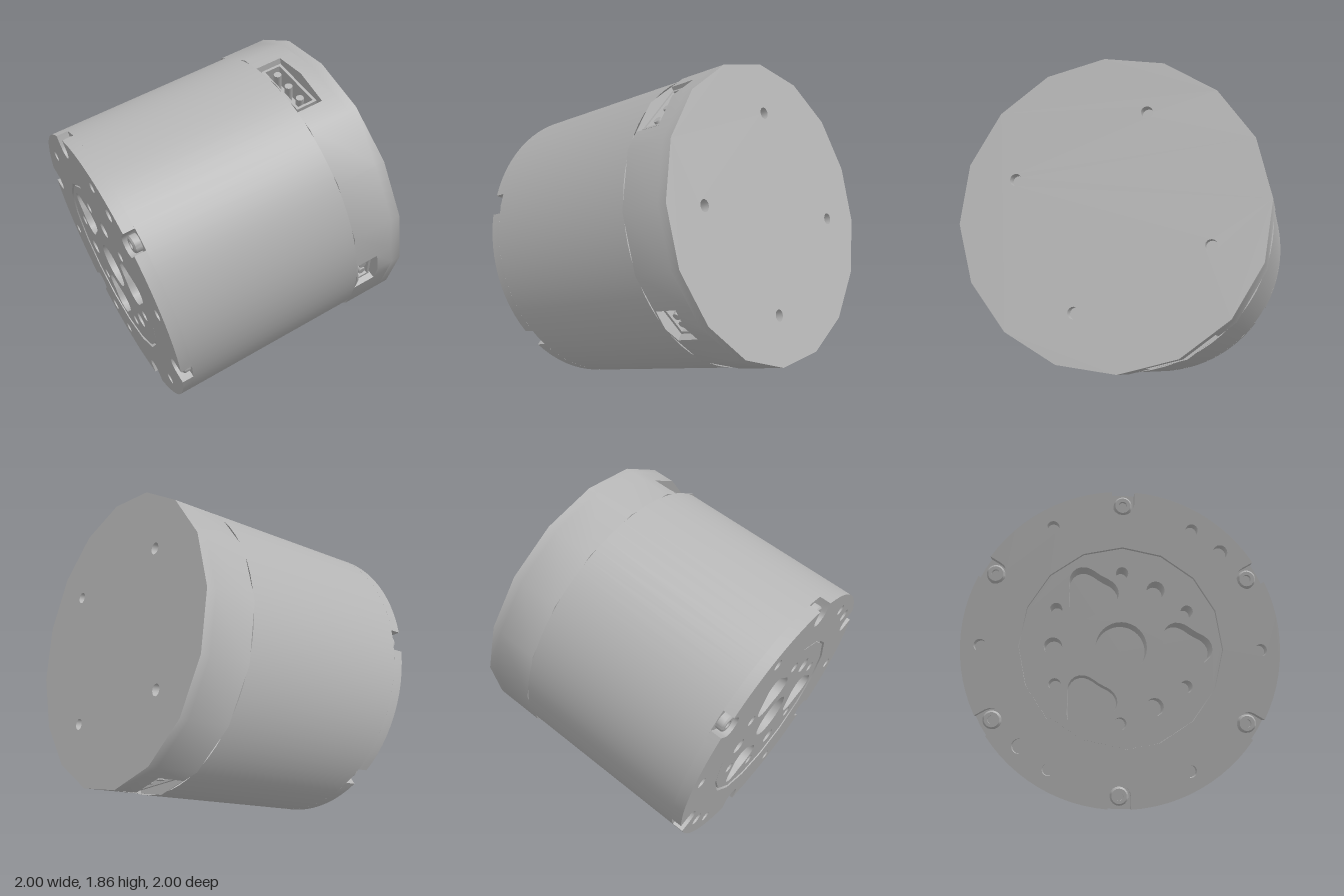
import * as THREE from 'three';
import { toCreasedNormals } from 'three/addons/utils/BufferGeometryUtils.js';

const RAD = Math.PI / 180;
const FRONT = 0.652, SEAM = -0.378, BACK = -0.652;   // axial stations along local z
const R = 0.76, LID_R = 0.768, LID_SIDES = 16, LID_PHASE = 16 * RAD;
const HUB_R = 0.472, PLATE = 0.06, HUB_DEPTH = 0.15;

// side ports in the lid: angle, half width, axial range, floor radius
const PORTS = [
  { angle: 61, half: 0.19, z0: -0.525, z1: -0.382, floor: 0.6, pins: 3 },
  { angle: 241, half: 0.19, z0: -0.525, z1: -0.382, floor: 0.6, pins: 3 },
  { angle: -29, half: 0.1, z0: -0.51, z1: -0.388, floor: 0.66, pins: 2 },
];

const polar = (r, a) => new THREE.Vector2(r * Math.cos(a), r * Math.sin(a));

function polygon(r, sides, phase = 0) {
  return Array.from({ length: sides }, (_, i) => polar(r, phase + (i / sides) * Math.PI * 2));
}

function circleHole(r, dist, deg, sides = 16) {
  const c = polar(dist, deg * RAD);
  return new THREE.Path(polygon(r, sides).map(p => p.add(c)));
}

function plate(shape, depth) {
  return toCreasedNormals(new THREE.ExtrudeGeometry(shape, { depth, bevelEnabled: false }), 0.7);
}

// round face with six U-shaped screw slots open at the rim
function rimShape() {
  const pts = [], half = 0.055, slotAt = 0.7, edge = Math.asin(half / R);
  for (let k = 0; k < 6; k++) {
    const a = (30 + 60 * k) * RAD, c = polar(slotAt, a);
    pts.push(polar(R, a - edge));
    for (let i = 0; i <= 8; i++) pts.push(polar(half, a - Math.PI / 2 - (i / 8) * Math.PI).add(c));
    const span = Math.PI / 3 - 2 * edge;
    for (let i = 0; i < 12; i++) pts.push(polar(R, a + edge + (i / 12) * span));
  }
  const shape = new THREE.Shape(pts);
  shape.holes.push(new THREE.Path(polygon(HUB_R + 0.014, 16)));
  for (let k = 0; k < 6; k++) shape.holes.push(circleHole(0.03, 0.667, 60 * k));
  for (const deg of [45, 225]) shape.holes.push(circleHole(0.036, 0.667, deg));
  return shape;
}

// output hub with centre bore, three clover pockets and bolt holes
function hubShape() {
  const shape = new THREE.Shape(polygon(HUB_R, 16));
  shape.holes.push(circleHole(0.123, 0, 0, 32));
  for (let k = 0; k < 3; k++) {
    const a = k * 120 * RAD, c = polar(0.3, a), pts = [];
    for (let i = 0; i < 36; i++) {
      const t = (i / 36) * Math.PI * 2;
      pts.push(polar(0.118 + 0.018 * Math.cos(3 * t), t + a).add(c));
    }
    shape.holes.push(new THREE.Path(pts));
    shape.holes.push(circleHole(0.044, 0.323, 60 + 120 * k));
  }
  for (let k = 0; k < 6; k++) shape.holes.push(circleHole(0.03, 0.36, 30 + 60 * k));
  return shape;
}

// faceted lid wall, built in strips, with recessed port openings
function lidWall() {
  const pos = [], TAU = Math.PI * 2, step = TAU / LID_SIDES;
  const lidRadius = a => {
    const t = ((a - LID_PHASE) % step + step) % step;
    return LID_R * Math.cos(step / 2) / Math.cos(t - step / 2);
  };
  const point = (a, r, z) => [r * Math.cos(a), r * Math.sin(a), z];
  const quad = (a, b, c, d) => pos.push(...a, ...b, ...c, ...a, ...c, ...d);
  const ports = PORTS.map(p => {
    const mid = p.angle * RAD, w = Math.asin(p.half / LID_R);
    return { ...p, a0: mid - w, a1: mid + w };
  });
  const start = LID_PHASE - 3 * step;
  const cuts = Array.from({ length: LID_SIDES + 1 }, (_, i) => start + i * step);
  ports.forEach(p => cuts.push(p.a0, p.a1));
  cuts.sort((a, b) => a - b);
  const top = SEAM, bottom = BACK + 0.05;
  for (let i = 0; i < cuts.length - 1; i++) {
    const a = cuts[i], b = cuts[i + 1];
    if (b - a < 1e-5) continue;
    const ra = lidRadius(a), rb = lidRadius(b), mid = (a + b) / 2;
    const strip = (lo, hi) => quad(point(a, ra, lo), point(b, rb, lo), point(b, rb, hi), point(a, ra, hi));
    const port = ports.find(p => mid > p.a0 && mid < p.a1);
    if (!port) { strip(bottom, top); continue; }
    const { z0, z1, floor: f } = port;
    strip(bottom, z0);
    strip(z1, top);
    quad(point(a, f, z0), point(b, f, z0), point(b, f, z1), point(a, f, z1));
    quad(point(a, ra, z0), point(a, f, z0), point(b, f, z0), point(b, rb, z0)); 
    quad(point(a, f, z1), point(a, ra, z1), point(b, rb, z1), point(b, f, z1));
  }
  for (const p of ports) for (const [a, s] of [[p.a0, 0], [p.a1, 1]]) {
    const r = lidRadius(a), lo = s ? p.z1 : p.z0, hi = s ? p.z0 : p.z1;
    quad(point(a, r, lo), point(a, r, hi), point(a, p.floor, hi), point(a, p.floor, lo));
  }
  const g = new THREE.BufferGeometry();
  g.setAttribute('position', new THREE.Float32BufferAttribute(pos, 3));
  return toCreasedNormals(g, 0.7);
}

export function createModel() {
  const metal = new THREE.MeshStandardMaterial({ color: 0xb4b4b4, side: THREE.DoubleSide });
  metal.name = 'grey metal';
  const root = new THREE.Group();
  root.name = 'actuator';
  const motor = new THREE.Group();
  motor.name = 'motor';
  root.add(motor);

  const add = (name, geometry, z = 0, parent = motor) => {
    const mesh = new THREE.Mesh(geometry, metal);
    mesh.name = name;
    mesh.position.z = z;
    parent.add(mesh);
    return mesh;
  };

  // housing
  const bodyLength = FRONT - PLATE - SEAM;
  add('bodyWall', new THREE.CylinderGeometry(R, R, bodyLength, 72, 1, true).rotateX(Math.PI / 2), (FRONT - PLATE + SEAM) / 2);
  add('frontPlate', plate(rimShape(), PLATE), FRONT - PLATE);
  add('slotFloor', new THREE.RingGeometry(HUB_R, R, 72), FRONT - PLATE);

  // hub and the narrow groove around it
  add('outputHub', plate(hubShape(), HUB_DEPTH), FRONT - HUB_DEPTH - 0.004);
  add('hubFloor', new THREE.CircleGeometry(HUB_R, 32), FRONT - HUB_DEPTH - 0.004);
  add('hubGroove', new THREE.RingGeometry(HUB_R - 0.005, HUB_R + 0.02, 16), FRONT - 0.025);

  // socket screws in the rim slots
  const screwProfile = [[0, 0.018], [0.02, 0.018], [0.02, 0.04], [0.036, 0.04], [0.044, 0.032], [0.044, 0]];
  const screw = toCreasedNormals(new THREE.LatheGeometry(screwProfile.map(p => new THREE.Vector2(...p)), 18), 0.5)
    .rotateX(Math.PI / 2);
  for (let k = 0; k < 6; k++) {
    const c = polar(0.698, (30 + 60 * k) * RAD);
    add('rimScrew', screw, FRONT - PLATE).position.set(c.x, c.y, FRONT - PLATE);
  }

  // lid
  const cap = new THREE.Shape(polygon(LID_R, LID_SIDES, LID_PHASE));
  for (let k = 0; k < 4; k++) cap.holes.push(circleHole(0.03, 0.512, 16.3 + 90 * k));
  add('backCap', plate(cap, 0.05), BACK);
  add('capHoleFloor', new THREE.CircleGeometry(0.58, 32).rotateY(Math.PI), BACK + 0.049);
  add('lidWall', lidWall());
  add('lidLip', new THREE.RingGeometry(0.7, LID_R, LID_SIDES, 1, LID_PHASE), SEAM);

  // connectors inside the ports; local y points outward
  for (const p of PORTS) {
    const socket = new THREE.Group();
    socket.name = 'connector';
    socket.rotation.z = p.angle * RAD - Math.PI / 2;
    socket.position.z = (p.z0 + p.z1) / 2;
    motor.add(socket);
    const w = p.half * 0.85, h = (p.z1 - p.z0) * 0.4, t = 0.014, tall = 0.72 - p.floor;
    const rect = (x, y) => [[-x, -y], [x, -y], [x, y], [-x, y]].map(q => new THREE.Vector2(...q));
    const frame = new THREE.Shape(rect(w, h));
    frame.holes.push(new THREE.Path(rect(w - t, h - t)));
    add('connectorFrame', plate(frame, tall).rotateX(-Math.PI / 2), 0, socket).position.y = p.floor;
    for (let i = 0; i < p.pins; i++) {
      const pin = add('connectorPin', new THREE.CylinderGeometry(0.02, 0.02, tall, 12), 0, socket);
      pin.position.set((i - (p.pins - 1) / 2) * w * 0.62, p.floor + tall / 2, 0);
    }
  }

  // tilt the whole motor into its resting pose
  const n = new THREE.Vector3(-0.632, -0.322, 0.705).normalize();
  const u = new THREE.Vector3(0, 1, 0).cross(n).normalize();
  const v = n.clone().cross(u);
  motor.quaternion.setFromRotationMatrix(new THREE.Matrix4().makeBasis(u, v, n));
  motor.position.y = 0.935;
  return root;
}
